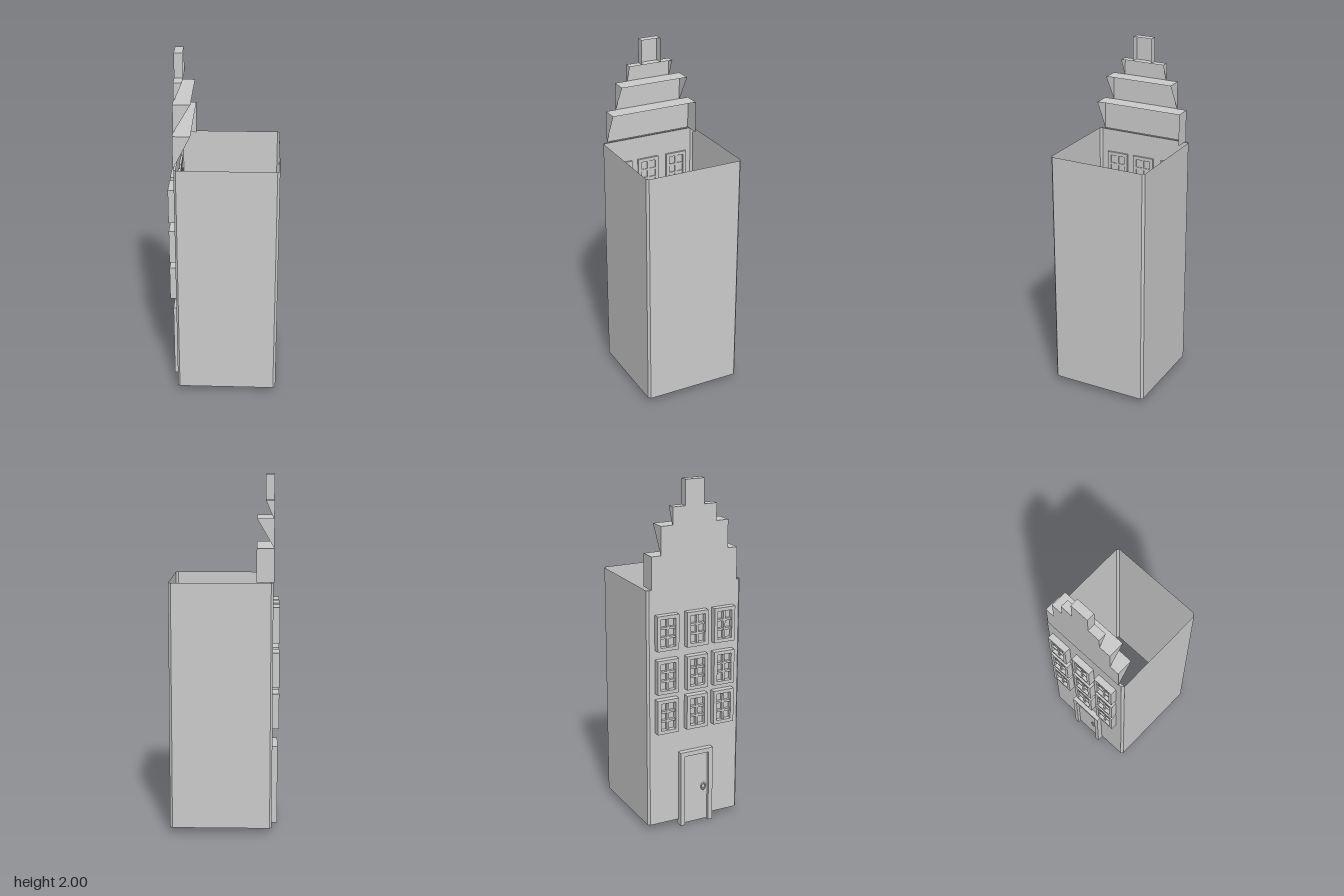
import * as THREE from 'three';

const solid = new THREE.MeshStandardMaterial({ color: 0xcccccc, flatShading: true });
const sheet = new THREE.MeshStandardMaterial({ color: 0xcccccc, flatShading: true, side: THREE.DoubleSide });

// Box given by its limits on each axis
function block(name, x0, x1, y0, y1, z0, z1) {
  const mesh = new THREE.Mesh(new THREE.BoxGeometry(x1 - x0, y1 - y0, z1 - z0), solid);
  mesh.position.set((x0 + x1) / 2, (y0 + y1) / 2, (z0 + z1) / 2);
  mesh.name = name;
  return mesh;
}

// Thin surface made of flat four-cornered panels
function panels(name, quads) {
  const points = quads.flatMap(([a, b, c, d]) => [a, b, c, a, c, d]).flat();
  const geometry = new THREE.BufferGeometry();
  geometry.setAttribute('position', new THREE.Float32BufferAttribute(points, 3));
  geometry.computeVertexNormals();
  const mesh = new THREE.Mesh(geometry, sheet);
  mesh.name = name;
  return mesh;
}

// Four walls with chamfered corners, open above and below
function createWalls() {
  const y0 = 0.03, y1 = 1.42;
  const plan = [
    [-0.27, -0.275], [-0.258, -0.287], [0.29, -0.29], [0.304, -0.278],
    [0.304, 0.275], [0.29, 0.287], [-0.258, 0.287], [-0.27, 0.275],
  ];
  const quads = plan.map(([x, z], i) => {
    const [u, w] = plan[(i + 1) % plan.length];
    return [[x, y0, z], [x, y1, z], [u, y1, w], [u, y0, w]];
  });
  // Narrow ledge along the top of the facade
  quads.push([[-0.27, y1, -0.275], [-0.27, y1, 0.275], [-0.258, y1, 0.287], [-0.258, y1, -0.287]]);
  return panels('walls', quads);
}

// Gable step: facade, cap and two end flaps, open at the rear.
// footL and footR are the rear x of the flaps at their foot.
function gableStep(name, y0, y1, z0, z1, rear, footL, footR) {
  const f = -0.275;
  return panels(name, [
    [[f, y0, z0], [f, y0, z1], [f, y1, z1], [f, y1, z0]],
    [[f, y1, z0], [f, y1, z1], [rear, y1, z1], [rear, y1, z0]],
    [[f, y0, z1], [footL, y0, z1], [rear, y1, z1], [f, y1, z1]],
    [[f, y0, z0], [f, y1, z0], [rear, y1, z0], [footR, y0, z0]],
  ]);
}

// Window frame with glazing bars, two panes wide and three high
function createWindow(y0, y1, z0, z1) {
  const group = new THREE.Group();
  group.name = 'window';
  const f = -0.307, b = -0.258, t = 0.02, h = 0.006;
  group.add(
    block('windowSill', f, b, y0, y0 + t, z0, z1),
    block('windowHead', f, b, y1 - t, y1, z0, z1),
    block('windowSide', f, b, y0 + t, y1 - t, z0, z0 + t),
    block('windowSide', f, b, y0 + t, y1 - t, z1 - t, z1),
    block('pane', -0.28, -0.266, y0 + t, y1 - t, z0 + t, z1 - t),
  );
  const zm = (z0 + z1) / 2;
  group.add(block('uprightBar', -0.3, -0.26, y0 + t, y1 - t, zm - h, zm + h));
  for (const k of [1, 2]) {
    const y = y0 + t + ((y1 - y0 - 2 * t) * k) / 3;
    group.add(block('crossBar', -0.299, -0.261, y - h, y + h, z0 + t, z1 - t));
  }
  return group;
}

function createDoor() {
  const group = new THREE.Group();
  group.name = 'door';
  const f = -0.302, b = -0.255, z0 = -0.097, z1 = 0.107, t = 0.026;
  group.add(
    block('doorJamb', f, b, 0, 0.455 - t, z0, z0 + t),
    block('doorJamb', f, b, 0, 0.455 - t, z1 - t, z1),
    block('doorLintel', f, b, 0.455 - t, 0.455, z0, z1),
    block('doorPanel', -0.284, -0.264, 0.005, 0.455 - t, z0 + t, z1 - t),
  );
  // Oval handle on both faces of the door
  for (const x of [-0.288, -0.26]) {
    const handle = new THREE.Mesh(new THREE.TorusGeometry(0.013, 0.005, 6, 12), solid);
    handle.name = 'doorHandle';
    handle.rotation.y = Math.PI / 2;
    handle.scale.y = 1.4;
    handle.position.set(x, 0.215, 0.055);
    group.add(handle);
  }
  return group;
}

export function createModel() {
  const model = new THREE.Group();
  model.name = 'townhouse';
  model.add(createWalls(), createDoor());

  // Stepped gable, each step narrower than the one below
  model.add(
    gableStep('gableStep1', 1.42, 1.605, -0.262, 0.258, -0.178, -0.272, -0.178),
    gableStep('gableStep2', 1.605, 1.763, -0.205, 0.2, -0.179, -0.272, -0.272),
    gableStep('gableStep3', 1.755, 1.86, -0.135, 0.128, -0.227, -0.272, -0.272),
    gableStep('gableTop', 1.86, 2, -0.06, 0.053, -0.227, -0.227, -0.227),
  );

  // Three rows of three windows
  for (const [y0, y1] of [[0.595, 0.795], [0.83, 1.027], [1.08, 1.28]])
    for (const [z0, z1] of [[-0.242, -0.112], [-0.061, 0.068], [0.107, 0.235]])
      model.add(createWindow(y0, y1, z0, z1));

  return model;
}
